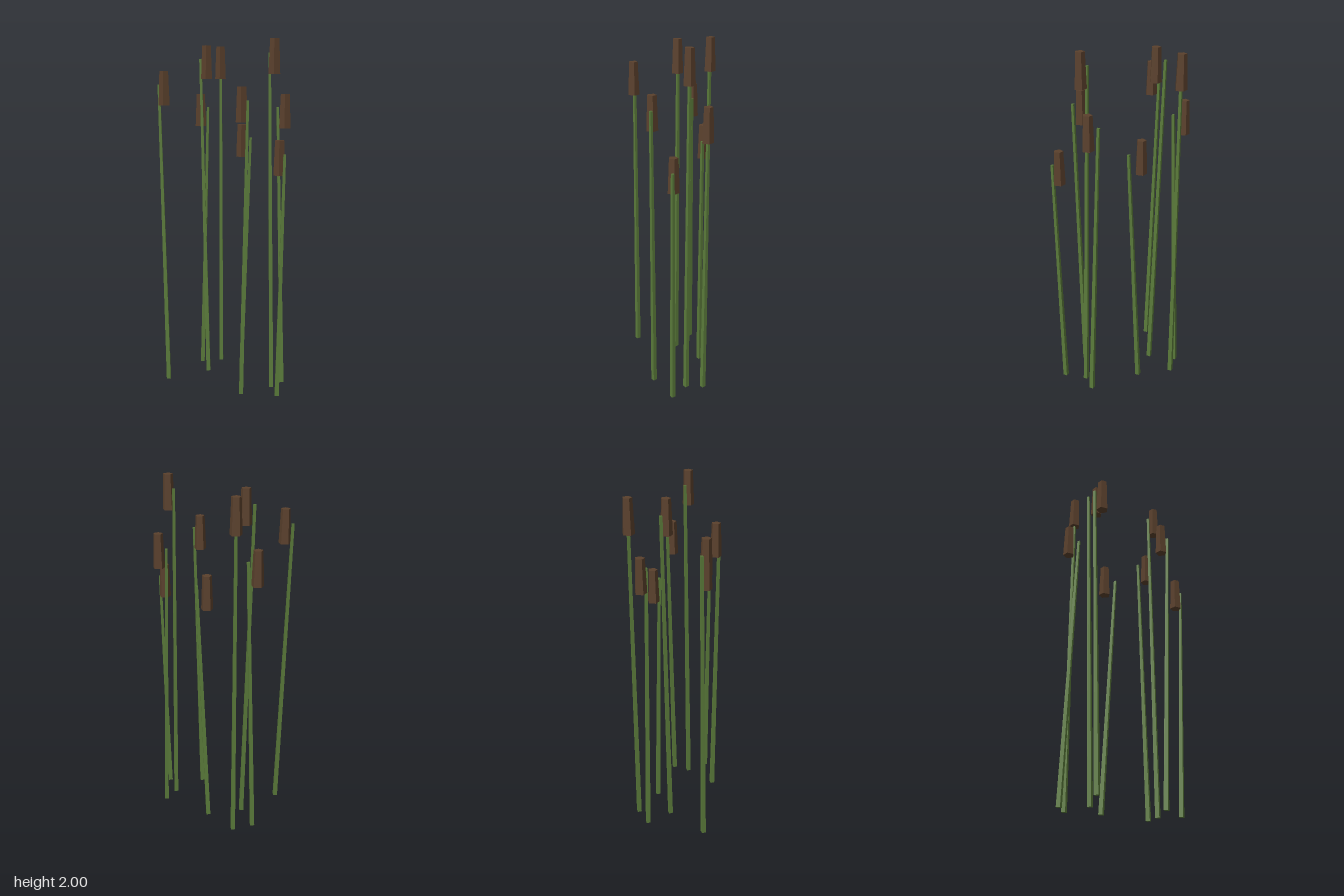
import * as THREE from 'three';

// Each reed: base x, base z, top of the seed head, x of the stem tip
const REEDS = [
  [-0.286, -0.208, 1.97, -0.286],
  [-0.082, -0.186, 1.52, -0.011],
  [-0.353, -0.108, 1.69, -0.291],
  [-0.213, -0.029, 1.97, -0.268],
  [0.222, -0.224, 1.70, 0.165],
  [0.229, -0.125, 2.0, 0.191],
  [0.338, -0.055, 1.46, 0.374],
  [0.176, 0.072, 1.745, 0.22],
  [-0.286, 0.229, 1.825, -0.335],
];
const HEAD_HEIGHT = 0.19;
const TIP_DROP = 0.075; // stem tip sits this far below the head's top

export function createModel() {
  const green = new THREE.MeshStandardMaterial({ color: 0x5a7a3a, flatShading: true });
  green.name = 'stemGreen';
  const brown = new THREE.MeshStandardMaterial({ color: 0x5a402c, flatShading: true });
  brown.name = 'headBrown';

  // Five-sided tapered seed head with a corner pointing back
  const headGeometry = new THREE.CylinderGeometry(0.0265, 0.034, HEAD_HEIGHT, 5);
  headGeometry.rotateY(Math.PI);

  const model = new THREE.Group();
  model.name = 'reeds';
  for (const [x, z, top, tipX] of REEDS) {
    const reed = new THREE.Group();
    reed.name = 'reed';
    reed.position.set(x, 0, z);

    // Four-sided stem leaning sideways from its base
    const rise = top - TIP_DROP;
    const lean = tipX - x;
    const length = Math.hypot(rise, lean);
    const stemGeometry = new THREE.CylinderGeometry(0.01, 0.017, length, 4);
    stemGeometry.translate(0, length / 2, 0);
    const stem = new THREE.Mesh(stemGeometry, green);
    stem.name = 'stem';
    stem.rotation.z = -Math.atan2(lean, rise);

    // Upright head directly above the base
    const head = new THREE.Mesh(headGeometry, brown);
    head.name = 'seedHead';
    head.position.y = top - HEAD_HEIGHT / 2;

    reed.add(stem, head);
    model.add(reed);
  }
  return model;
}
